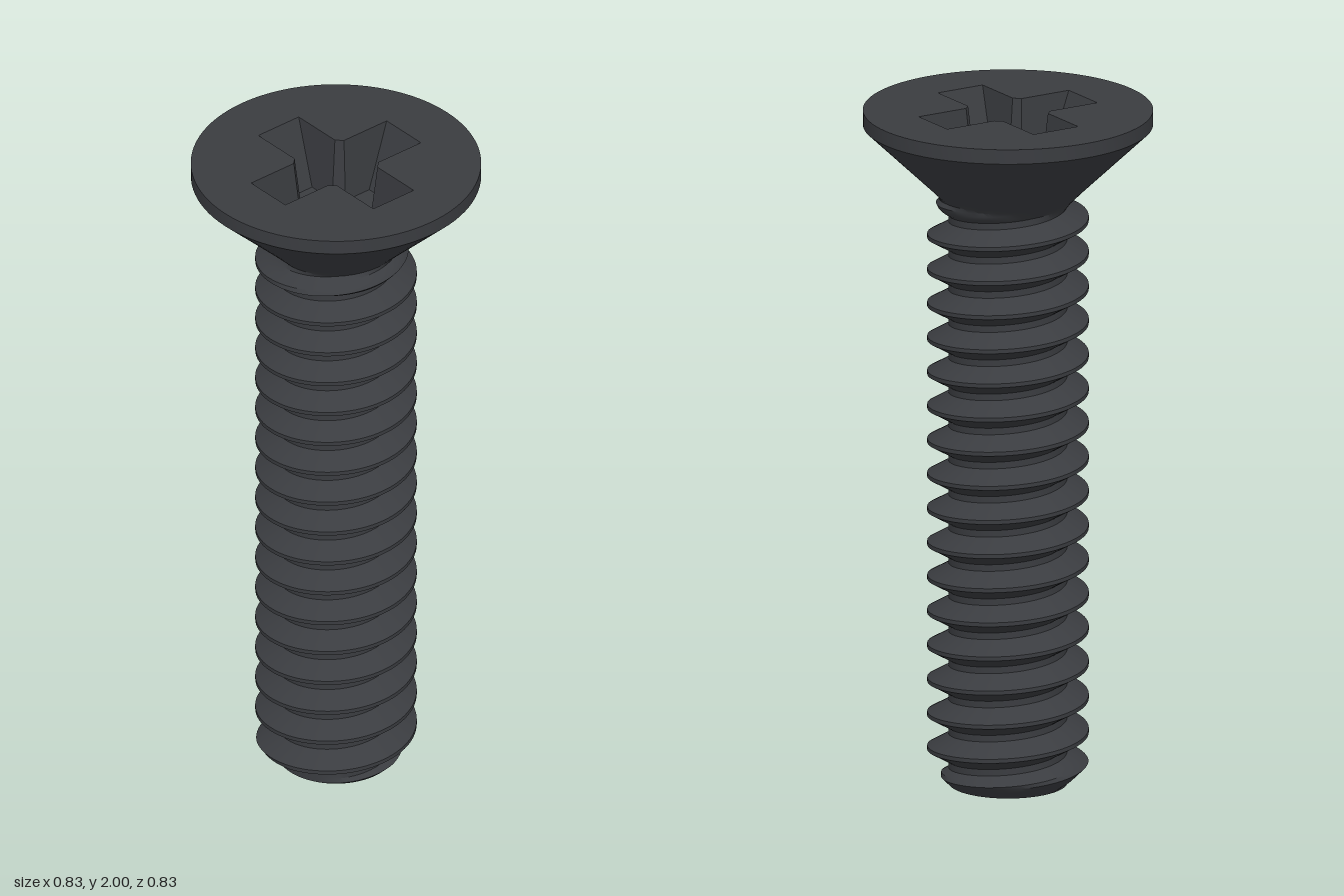
import * as THREE from 'three';
import { toCreasedNormals } from 'three/addons/utils/BufferGeometryUtils.js';

const TOP = 2, HEAD_R = 0.415, HEAD_BASE = 1.775;
const PITCH = 0.1015, CREST_Y = 0.063, MAJOR = 0.231, MINOR = 0.17;
const FLOOR_Y = 1.81, PIT_R = 0.1;

const metal = new THREE.MeshStandardMaterial({ color: 0x3a3c40 });
const clamp = THREE.MathUtils.clamp;

function addMesh(parent, name, geometry) {
  const mesh = new THREE.Mesh(geometry, metal);
  mesh.name = name;
  parent.add(mesh);
  return mesh;
}

// Radius of the threaded shank at height y and turn (0..1) around the axis
function shankRadius(y, turn) {
  const u = (y - CREST_Y) / PITCH - turn;
  const fromCrest = Math.abs(u - Math.round(u)) * PITCH;
  const fade = clamp((1.77 - y) / 0.08, 0, 1); // thread runs out below the head
  const ridge = clamp(1 - (fromCrest - 0.006) / 0.035, 0, 1) * fade;
  const thread = MINOR + (MAJOR - MINOR) * ridge;
  const chamfer = MINOR + y;                   // bevelled tip
  const neck = MINOR + (y - 1.72);             // flare into the head
  return Math.max(Math.min(thread, chamfer), neck);
}

// Helical skin: rows follow the thread and are trimmed flat at both ends
function threadGeometry() {
  const cols = 80;
  const offsets = [-0.041, -0.029, -0.0175, -0.006, 0.006, 0.0175, 0.029, 0.041];
  const heights = [];
  for (let k = -2; k < 19; k++) {
    for (const o of offsets) heights.push(CREST_Y + k * PITCH + o);
  }
  const positions = [], index = [];
  for (const h of heights) {
    for (let i = 0; i <= cols; i++) {
      const turn = i / cols, a = turn * Math.PI * 2;
      const y = clamp(h + PITCH * turn, 0, HEAD_BASE);
      const r = shankRadius(y, turn);
      positions.push(r * Math.sin(a), y, r * Math.cos(a));
    }
  }
  for (let j = 0; j < heights.length - 1; j++) {
    for (let i = 0; i < cols; i++) {
      const a = j * (cols + 1) + i, b = a + 1, d = a + cols + 1, c = d + 1;
      const y = (n) => positions[n * 3 + 1];
      if (y(a) !== y(d)) index.push(a, b, d);
      if (y(b) !== y(c)) index.push(b, c, d);
    }
  }
  const g = new THREE.BufferGeometry();
  g.setAttribute('position', new THREE.Float32BufferAttribute(positions, 3));
  g.setIndex(index);
  return toCreasedNormals(g, 0.5);
}

// Cross outline with clipped inner corners, counter-clockwise
function crossOutline(reach, half, corner) {
  const points = [];
  for (let k = 0; k < 4; k++) {
    for (const [x, y] of [[reach, -half], [reach, half], [corner, half], [half, corner]]) {
      points.push(new THREE.Vector2(x, y).rotateAround(new THREE.Vector2(), k * Math.PI / 2));
    }
  }
  return points;
}

// Sloping walls between the upper and lower outlines, facing into the recess
function recessWalls(upper, lower) {
  const positions = [];
  const put = (p, y) => positions.push(p.x, y, -p.y);
  upper.forEach((u0, i) => {
    const n = (i + 1) % upper.length;
    const u1 = upper[n], l0 = lower[i], l1 = lower[n];
    put(u0, TOP); put(u1, TOP); put(l0, FLOOR_Y);
    put(u1, TOP); put(l1, FLOOR_Y); put(l0, FLOOR_Y);
  });
  const g = new THREE.BufferGeometry();
  g.setAttribute('position', new THREE.Float32BufferAttribute(positions, 3));
  g.computeVertexNormals();
  return g;
}

const lathe = (pts) => new THREE.LatheGeometry(pts.map(([r, y]) => new THREE.Vector2(r, y)), 96);
const lieFlat = (g, y) => g.rotateX(-Math.PI / 2).translate(0, y, 0);

export function createModel() {
  const screw = new THREE.Group();
  screw.name = 'countersunkScrew';

  // Shank
  const shank = new THREE.Group();
  shank.name = 'shank';
  screw.add(shank);
  addMesh(shank, 'thread', threadGeometry());
  addMesh(shank, 'tip', new THREE.CircleGeometry(MINOR, 80).rotateX(Math.PI / 2));

  // Head: cone, thin rim and a top face pierced by the recess
  const head = new THREE.Group();
  head.name = 'head';
  screw.add(head);
  addMesh(head, 'headSide', toCreasedNormals(
    lathe([[0.225, HEAD_BASE], [HEAD_R, 1.957], [HEAD_R, TOP]]), 0.5));
  const upper = crossOutline(0.254, 0.0755, 0.094);
  const half = 0.056, corner = Math.sqrt(PIT_R ** 2 - half ** 2);
  const lower = crossOutline(0.172, half, corner);
  const face = new THREE.Shape().absarc(0, 0, HEAD_R, 0, Math.PI * 2);
  face.holes.push(new THREE.Path(upper));
  addMesh(head, 'headTop', lieFlat(new THREE.ShapeGeometry(face, 48), TOP));

  // Cross recess: walls, four arm floors and a shallow conical pit
  const recess = new THREE.Group();
  recess.name = 'driveRecess';
  head.add(recess);
  addMesh(recess, 'recessWalls', recessWalls(upper, lower));
  const angle = Math.atan2(half, corner);
  for (let k = 0; k < 4; k++) {
    const arm = new THREE.Shape();
    arm.moveTo(0.172, -half);
    arm.lineTo(0.172, half);
    arm.lineTo(corner, half);
    arm.absarc(0, 0, PIT_R, angle, -angle, true);
    const floor = addMesh(recess, 'armFloor', lieFlat(new THREE.ShapeGeometry(arm), FLOOR_Y));
    floor.rotation.y = k * Math.PI / 2;
  }
  addMesh(recess, 'centrePit', lathe([[PIT_R, FLOOR_Y], [0, FLOOR_Y - 0.03]]));

  return screw;
}
